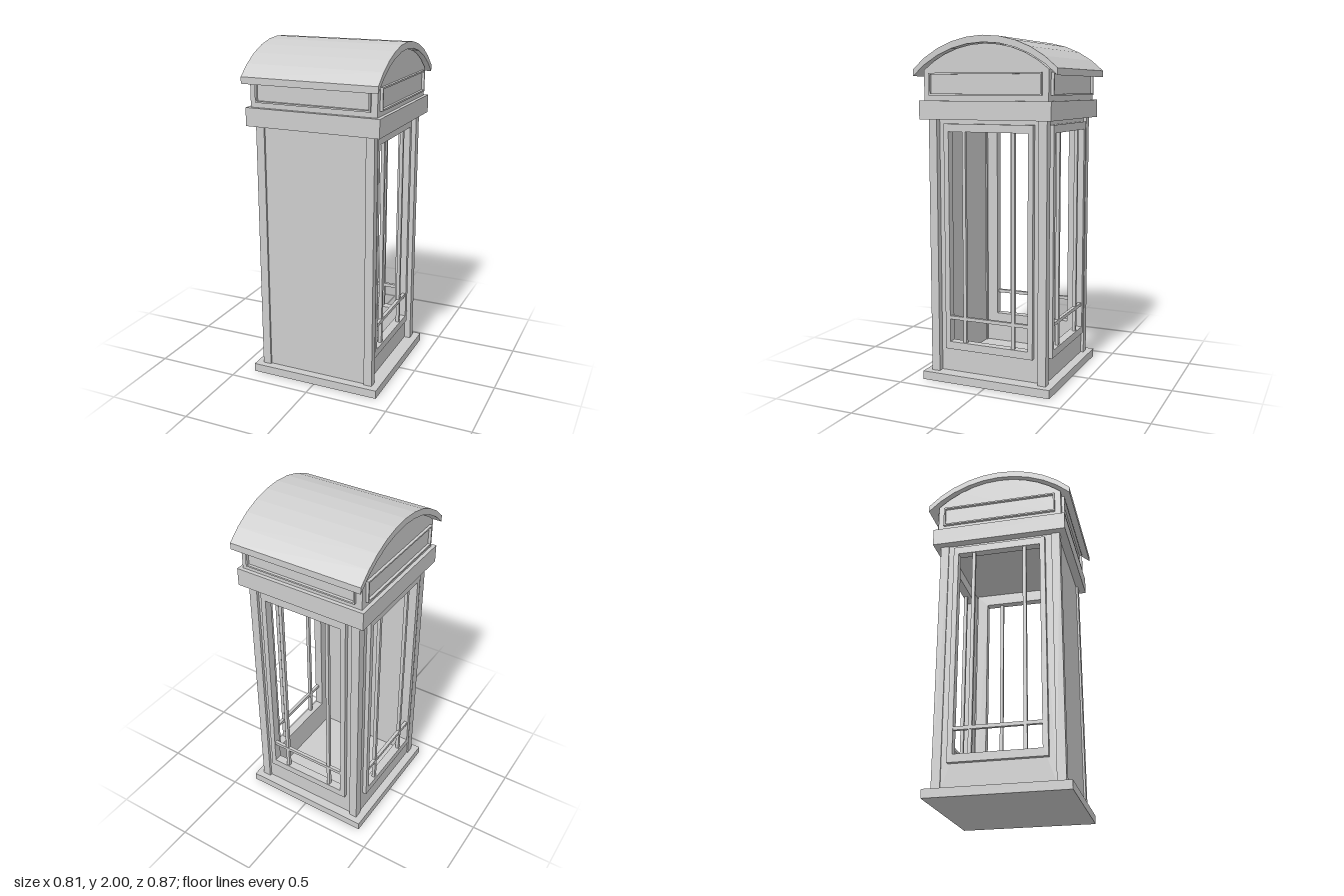
import * as THREE from 'three';

const grey = new THREE.MeshStandardMaterial({ color: 0xcccccc });
grey.name = 'painted grey';

function mesh(name, geometry, parent) {
  const m = new THREE.Mesh(geometry, grey);
  m.name = name;
  parent.add(m);
  return m;
}

function box(name, w, h, d, x, y, z, parent) {
  const m = mesh(name, new THREE.BoxGeometry(w, h, d), parent);
  m.position.set(x, y, z);
  return m;
}

// Rectangle x0..x1, y0..y1 as a list of points
const rect = (x0, x1, y0, y1) => [[x0, y0], [x1, y0], [x1, y1], [x0, y1]].map(p => new THREE.Vector2(...p));

// Upright plate with a rectangular opening, its outer face at z = front
function pierced(name, outer, hole, front, depth, parent) {
  const shape = new THREE.Shape(rect(...outer));
  shape.holes.push(new THREE.Path(rect(...hole)));
  const g = new THREE.ExtrudeGeometry(shape, { depth, bevelEnabled: false });
  return mesh(name, g.translate(0, 0, front - depth), parent);
}

// Points (z, y) along an arch of given half width, crest height and rise
function arch(half, crest, rise, steps) {
  const r = (half * half + rise * rise) / (2 * rise);
  const a = Math.asin(half / r);
  return Array.from({ length: steps + 1 }, (_, i) => {
    const t = -a + (2 * a * i) / steps;
    return new THREE.Vector2(r * Math.sin(t), crest - r + r * Math.cos(t));
  });
}

// Extrude a (z, y) outline along x, centred
function alongX(points, width) {
  const g = new THREE.ExtrudeGeometry(new THREE.Shape(points), { depth: width, bevelEnabled: false });
  return g.translate(0, 0, -width / 2).rotateY(Math.PI / 2);
}

// Glazed wall facing +z: lower panel, raised frame and glazing bars
function windowWall(name, face) {
  const wall = new THREE.Group();
  wall.name = name;
  const hole = [-0.245, 0.245, 0.235, 1.47];
  pierced('wallPanel', [-0.312, 0.312, 0.05, 1.54], hole, face - 0.025, 0.025, wall);
  pierced('windowFrame', [-0.275, 0.275, 0.19, 1.515], hole, face, 0.025, wall);
  for (const s of [-1, 1]) box('verticalBar', 0.02, 1.235, 0.02, s * 0.152, 0.8525, face - 0.017, wall);
  box('horizontalBar', 0.49, 0.02, 0.02, 0, 0.38, face - 0.015, wall);
  return wall;
}

export function createModel() {
  const model = new THREE.Group();
  model.name = 'phoneBooth';

  // Base, corner posts and solid front
  box('base', 0.8, 0.05, 0.8, 0, 0.025, 0, model);
  for (const sx of [-1, 1]) for (const sz of [-1, 1]) {
    box('cornerPost', 0.05, 1.49, 0.05, sx * 0.333, 0.795, sz * 0.337, model);
  }
  box('frontPanel', 0.624, 1.49, 0.03, 0, 0.795, 0.335, model);

  // Three glazed walls: left (+x), right (-x) and back
  for (const [name, face, turn] of [
    ['leftWall', 0.345, Math.PI / 2],
    ['rightWall', 0.375, -Math.PI / 2],
    ['backWall', 0.37, Math.PI],
  ]) {
    const wall = windowWall(name, face);
    wall.rotation.y = turn;
    model.add(wall);
  }

  // Cornice and the arched head block above it
  box('cornice', 0.8, 0.105, 0.8, 0, 1.5925, 0, model);
  const gable = arch(0.377, 1.957, 0.142, 10);
  gable.push(new THREE.Vector2(0.377, 1.645), new THREE.Vector2(-0.377, 1.645));
  mesh('headBlock', alongX(gable, 0.756), model);

  // Narrow raised borders of the blank sign panels
  for (let i = 0; i < 4; i++) {
    const border = pierced('signBorder', [-0.342, 0.342, 1.675, 1.8], [-0.333, 0.333, 1.684, 1.791], 0.394, 0.02, model);
    border.rotation.y = (i * Math.PI) / 2;
  }

  // Curved roof shell
  const top = arch(0.435, 2, 0.18, 10);
  const under = top.map(p => new THREE.Vector2(p.x, p.y - 0.038)).reverse();
  mesh('roof', alongX([...top, ...under], 0.805), model);

  return model;
}
